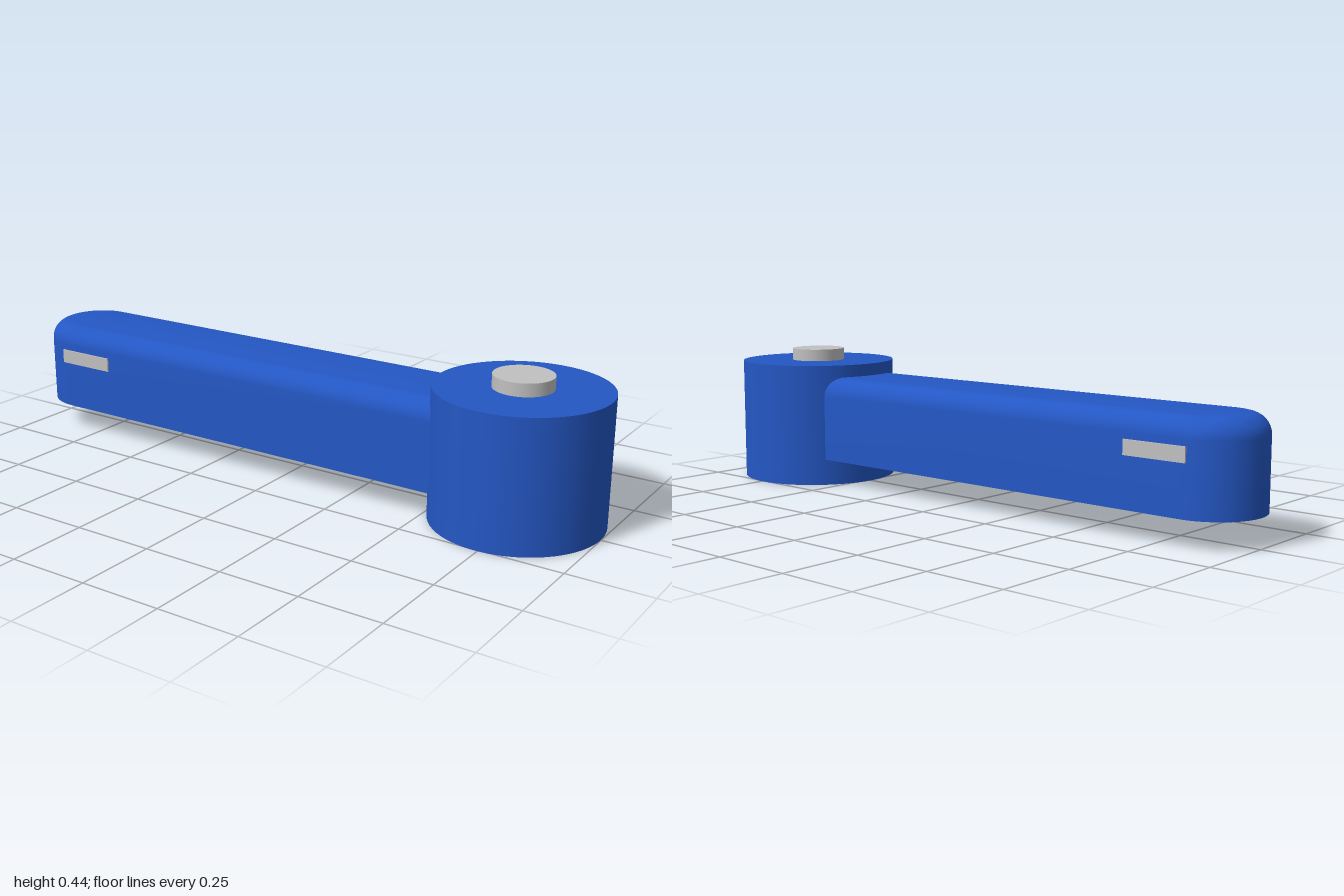
import * as THREE from 'three';
import { toCreasedNormals } from 'three/addons/utils/BufferGeometryUtils.js';

const blue = new THREE.MeshStandardMaterial({ color: 0x2457c4 });
blue.name = 'blue body';
const grey = new THREE.MeshStandardMaterial({ color: 0xc0c0c0 });
grey.name = 'grey metal';

const HUB_X = 0.743;
const ARM = { r: 0.156, bottom: 0.085, top: 0.357, fillet: 0.06, start: -0.844 };

function part(parent, name, geometry, material, x = 0, y = 0, z = 0) {
  const mesh = new THREE.Mesh(geometry, material);
  mesh.name = name;
  mesh.position.set(x, y, z);
  parent.add(mesh);
  return mesh;
}

// Half cross-section of the arm: flat bottom, upright side, rounded top edge
function armProfile() {
  const { r, bottom, top, fillet } = ARM;
  const points = [new THREE.Vector2(0, bottom), new THREE.Vector2(r, bottom)];
  for (let i = 0; i <= 10; i++) {
    const a = (i / 10) * Math.PI / 2;
    points.push(new THREE.Vector2(r - fillet + fillet * Math.cos(a), top - fillet + fillet * Math.sin(a)));
  }
  points.push(new THREE.Vector2(0, top));
  return points;
}

export function createModel() {
  const model = new THREE.Group();
  model.name = 'crankHandle';

  // Round hub with its pin
  part(model, 'hub', new THREE.CylinderGeometry(0.256, 0.256, 0.397, 72), blue, HUB_X, 0.1985, 0);
  part(model, 'pin', new THREE.CylinderGeometry(0.088, 0.088, 0.06, 48), grey, HUB_X, 0.406, 0);

  // Arm: straight bar running into the hub, and a half-round end
  const arm = new THREE.Group();
  arm.name = 'arm';
  model.add(arm);
  const half = armProfile();
  const mirrored = half.slice(1, -1).reverse().map(p => new THREE.Vector2(-p.x, p.y));
  const bar = new THREE.ExtrudeGeometry(new THREE.Shape([...half, ...mirrored]), {
    depth: HUB_X - ARM.start, bevelEnabled: false,
  });
  bar.rotateY(Math.PI / 2);
  part(arm, 'armBar', toCreasedNormals(bar, 0.6), blue, ARM.start);
  const end = new THREE.LatheGeometry(half, 36, Math.PI, Math.PI);
  part(arm, 'armEnd', toCreasedNormals(end, 0.6), blue, ARM.start);

  // Thin marker plates on both sides of the arm
  for (const side of [1, -1]) {
    part(arm, side > 0 ? 'frontMarker' : 'backMarker',
      new THREE.BoxGeometry(0.198, 0.044, 0.009), grey, -0.763, 0.258, side * 0.1565);
  }
  return model;
}
